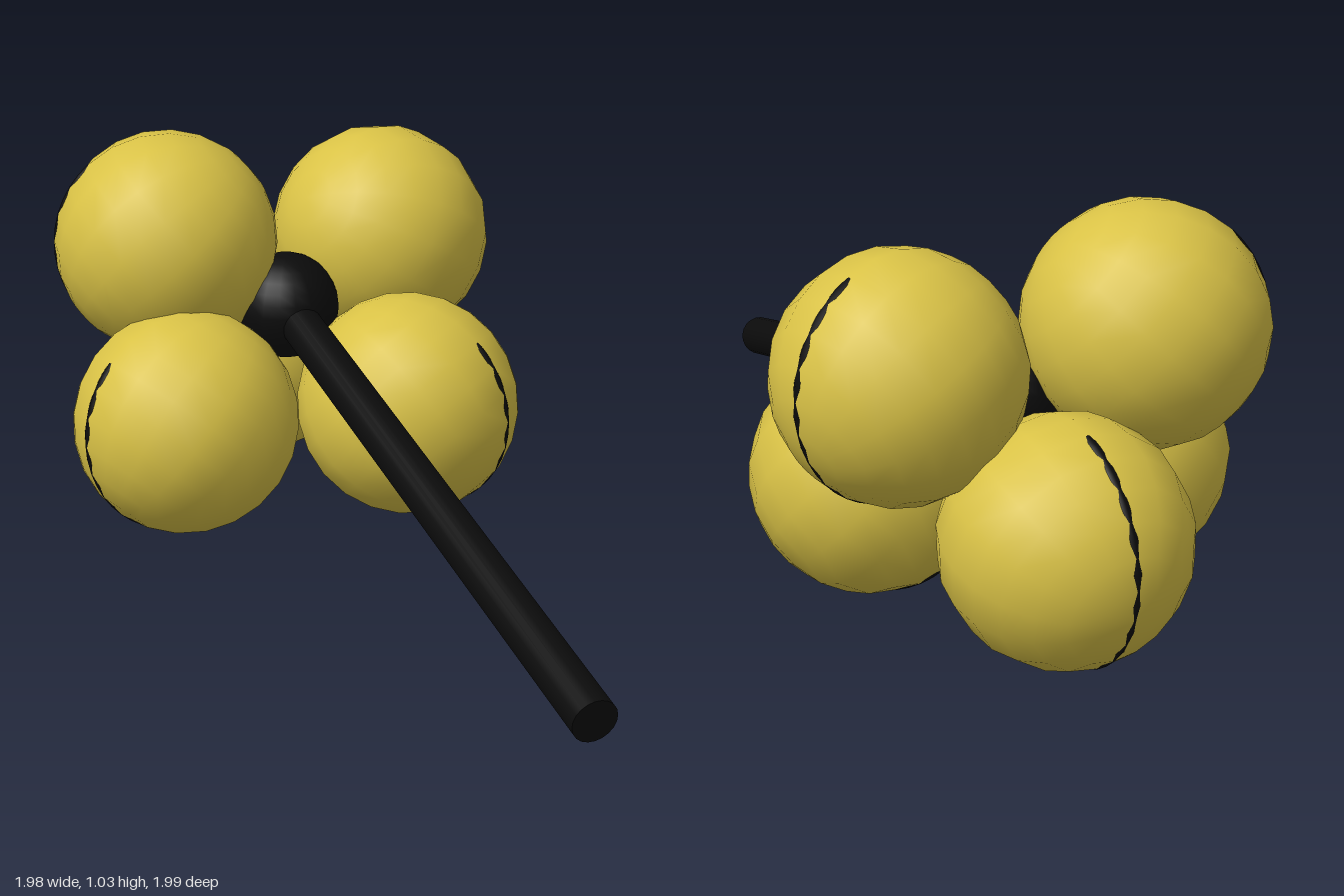
import * as THREE from 'three';

const HUB = new THREE.Vector3(-0.39, 0.55, -0.35);
const STICK_END = new THREE.Vector3(0.947, 0.135, 0.952);
const BALL_RADIUS = 0.303;

// centre of each bell, where its slit starts, and a second point along the slit (both from the centre)
const BELLS = [
  { at: [-0.69, 0.727, -0.23], start: [-0.17, 0.22, 0.11], via: [-0.25, 0.07, 0.15] },
  { at: [-0.26, 0.68, -0.70], start: [0.06, 0.26, -0.13], via: [0.13, 0, -0.27] },
  { at: [-0.04, 0.305, -0.38], start: [0.21, 0.205, 0.04], via: [0, -0.295, -0.03] },
  { at: [-0.53, 0.305, -0.01], start: [-0.12, 0.205, 0.19], via: [-0.16, -0.095, 0.25] },
  { at: [-0.64, 0.305, -0.61], start: [-0.07, 0.285, -0.06], via: [-0.24, 0, -0.18] },
];

function part(name, geometry, material) {
  const mesh = new THREE.Mesh(geometry, material);
  mesh.name = name;
  return mesh;
}

export function createModel() {
  const gold = new THREE.MeshStandardMaterial({ color: 0xd9c246 });
  gold.name = 'gold';
  const black = new THREE.MeshStandardMaterial({ color: 0x0b0b0b });
  black.name = 'black';

  const model = new THREE.Group();
  model.name = 'bellCluster';

  // handle from the hub down to the ground side
  const axis = STICK_END.clone().sub(HUB);
  const handle = part('handle', new THREE.CylinderGeometry(0.056, 0.056, axis.length(), 20), black);
  handle.position.copy(HUB).addScaledVector(axis, 0.5);
  handle.quaternion.setFromUnitVectors(new THREE.Vector3(0, 1, 0), axis.clone().normalize());
  model.add(handle);

  // round hub joining the bells
  const hub = part('hub', new THREE.SphereGeometry(0.145, 20, 14), black);
  hub.position.copy(HUB);
  model.add(hub);

  // bells, each with a half-ring slit running from local +x over +y to -x
  const ballGeometry = new THREE.SphereGeometry(BALL_RADIUS, 16, 12);
  const slitGeometry = new THREE.TorusGeometry(BALL_RADIUS - 0.014, 0.015, 8, 24, Math.PI);
  for (const { at, start, via } of BELLS) {
    const x = new THREE.Vector3(...start).normalize();
    const z = x.clone().cross(new THREE.Vector3(...via)).normalize();
    const y = z.clone().cross(x);
    const bell = new THREE.Group();
    bell.name = 'bell';
    bell.add(part('bellBall', ballGeometry, gold), part('bellSlit', slitGeometry, black));
    bell.quaternion.setFromRotationMatrix(new THREE.Matrix4().makeBasis(x, y, z));
    bell.position.set(...at);
    model.add(bell);
  }

  return model;
}
